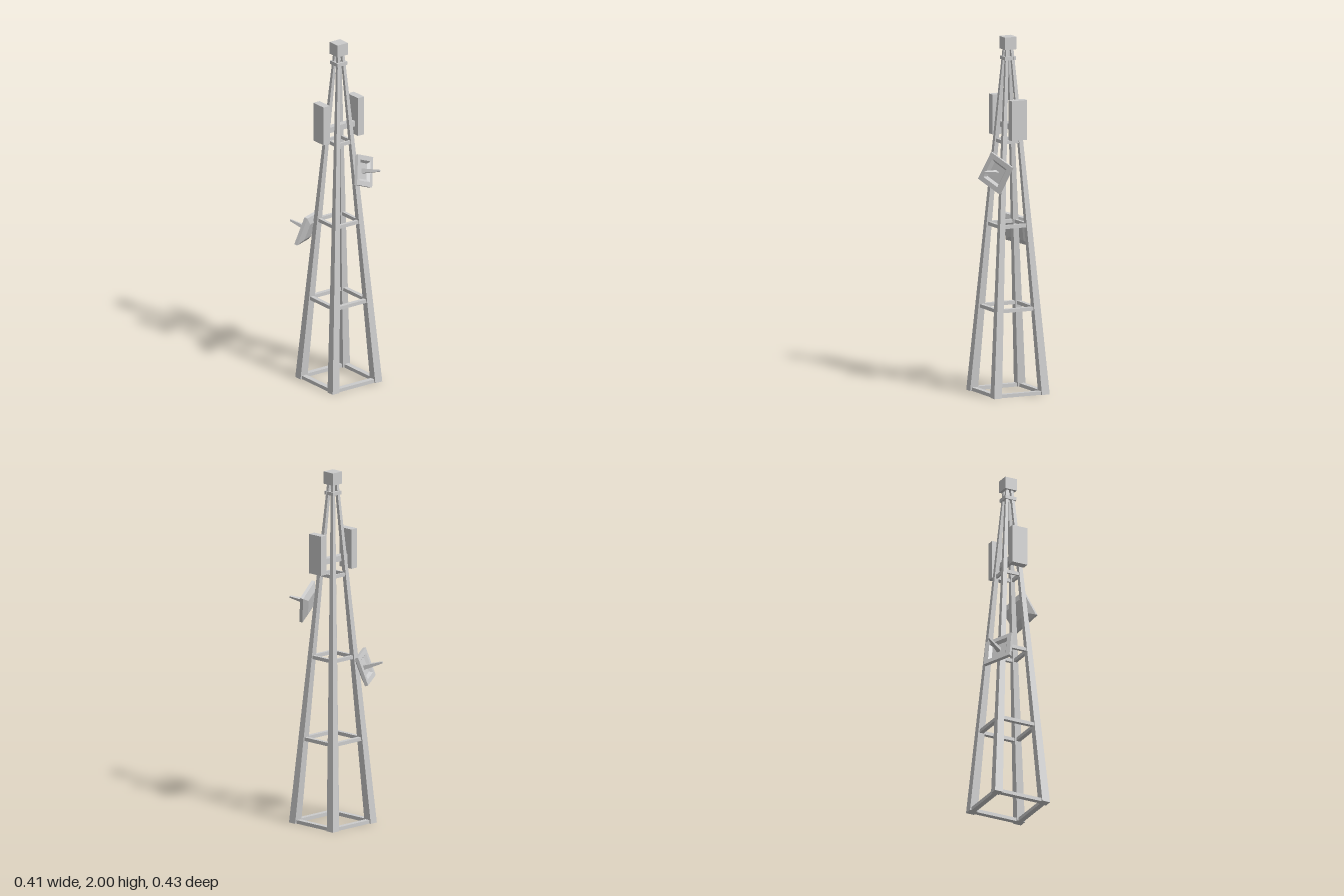
import * as THREE from 'three';

const material = new THREE.MeshStandardMaterial({ color: 0xcccccc, flatShading: true });

function add(parent, name, geometry, x = 0, y = 0, z = 0) {
  const mesh = new THREE.Mesh(geometry, material);
  mesh.name = name;
  mesh.position.set(x, y, z);
  parent.add(mesh);
  return mesh;
}

const LEG_TOP = 1.94;
const legCentre = (y) => THREE.MathUtils.lerp(0.148, 0.014, y / LEG_TOP);
const legHalf = (y) => THREE.MathUtils.lerp(0.024, 0.008, y / LEG_TOP);

// Leaning leg that tapers towards the top
function legGeometry(sx, sz) {
  const geo = new THREE.BoxGeometry(2, LEG_TOP, 2);
  geo.translate(0, LEG_TOP / 2, 0);
  const p = geo.attributes.position;
  for (let i = 0; i < p.count; i++) {
    const y = p.getY(i), c = legCentre(y), h = legHalf(y);
    p.setXYZ(i, sx * c + p.getX(i) * h, y, sz * c + p.getZ(i) * h);
  }
  geo.computeVertexNormals();
  return geo;
}

// Square ring of four rails
function railRing(parent, y, offset, halfLength, depth) {
  const ring = new THREE.Group();
  ring.name = 'railRing';
  for (let i = 0; i < 4; i++) {
    const a = i * Math.PI / 2;
    const rail = add(ring, 'rail', new THREE.BoxGeometry(halfLength * 2, 0.02, depth),
      Math.sin(a) * offset, y, Math.cos(a) * offset);
    rail.rotation.y = a;
  }
  parent.add(ring);
}

// Square dish facing local +z, with a recessed front and a tapered feed spike
function dish(parent, name, centre, normal, across) {
  const group = new THREE.Group();
  group.name = name;
  const profile = [[0, -0.036], [0.048, -0.036], [0.085, -0.018], [0.085, 0],
    [0.058, 0], [0.045, -0.016], [0, -0.016]]
    .map(([r, y]) => new THREE.Vector2(r * Math.SQRT2, y));
  const pan = new THREE.LatheGeometry(profile, 4).rotateY(Math.PI / 4).rotateX(Math.PI / 2);
  add(group, 'dishPan', pan);
  const spike = new THREE.CylinderGeometry(0.007, 0.018, 0.112, 4)
    .rotateY(Math.PI / 4).rotateX(Math.PI / 2);
  add(group, 'feedSpike', spike, 0, 0, 0.039);

  const z = new THREE.Vector3(...normal).normalize();
  const x = new THREE.Vector3(...across);
  x.addScaledVector(z, -x.dot(z)).normalize();
  const y = new THREE.Vector3().crossVectors(z, x);
  group.quaternion.setFromRotationMatrix(new THREE.Matrix4().makeBasis(x, y, z));
  group.position.set(...centre);
  parent.add(group);
}

export function createModel() {
  const model = new THREE.Group();
  model.name = 'antennaTower';

  // Lattice mast, slightly off centre because of the dishes
  const mast = new THREE.Group();
  mast.name = 'mast';
  mast.position.set(0.017, 0, 0.001);
  model.add(mast);

  for (const sx of [-1, 1])
    for (const sz of [-1, 1]) add(mast, 'leg', legGeometry(sx, sz));

  const levels = [[0.01, 0.03], [0.48, 0.024], [0.945, 0.018], [1.415, 0.012]];
  for (const [y, depth] of levels) railRing(mast, y, legCentre(y), legCentre(y), depth);

  // Collar and cap at the top
  railRing(mast, 1.88, 0.026, 0.034, 0.015);
  add(mast, 'topCap', new THREE.BoxGeometry(0.072, 0.07, 0.072), 0, 1.965, 0);

  // Crossbar with a panel antenna at each end
  add(mast, 'crossbar', new THREE.BoxGeometry(0.22, 0.032, 0.036), 0, 1.5, 0);
  for (const s of [-1, 1])
    add(mast, 'panelAntenna', new THREE.BoxGeometry(0.043, 0.224, 0.094), s * 0.119, 1.548, 0);

  // Dishes on opposite corners
  dish(model, 'upperDish', [0.105, 1.255, 0.127], [0.42, 0.19, 0.89], [0.858, -0.4, -0.325]);
  dish(model, 'lowerDish', [-0.114, 0.89, -0.134], [-0.45, 0.31, -0.84], [-0.153, 0.022, 0.09]);

  return model;
}
